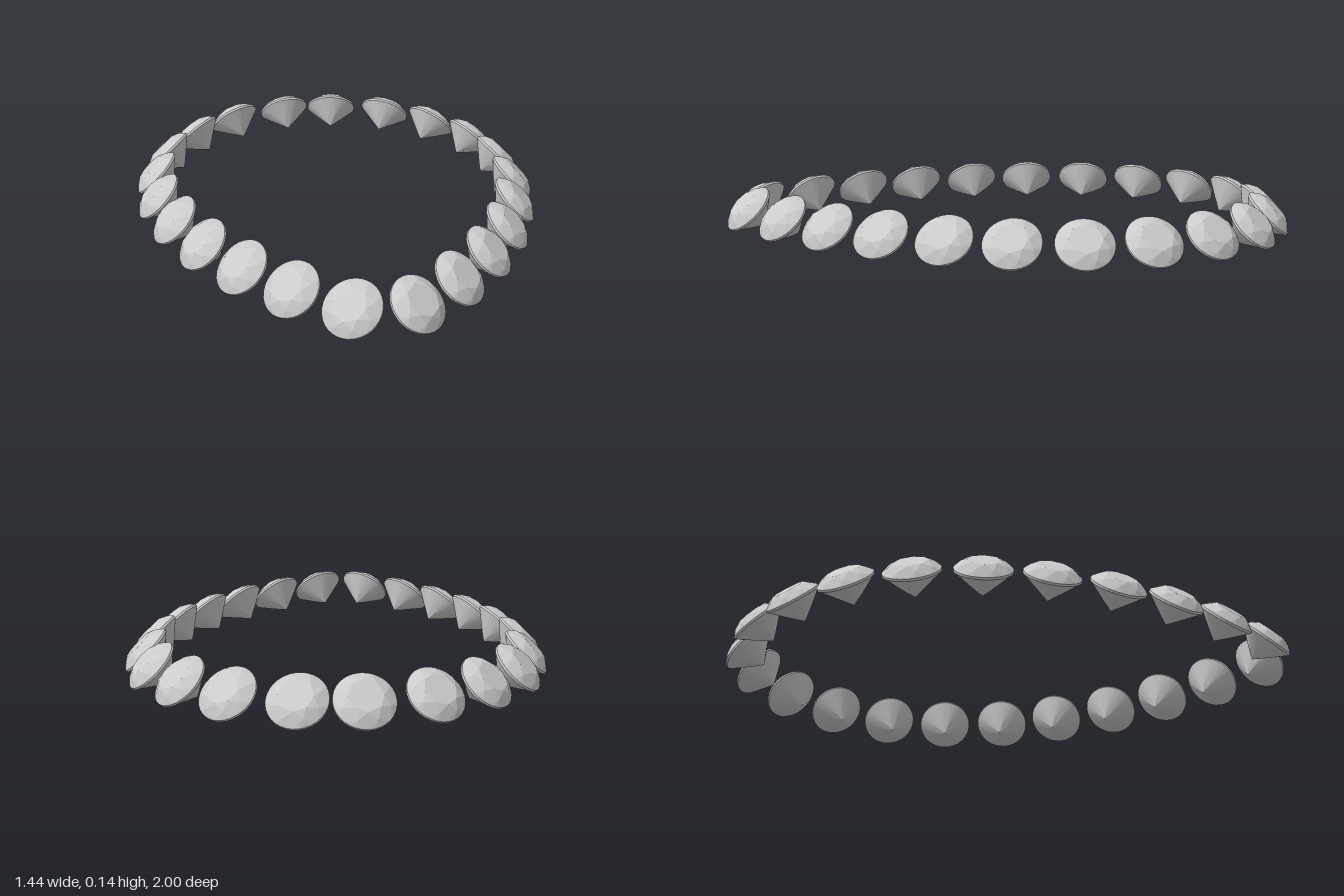
import * as THREE from 'three';

const R = 0.0975;       // girdle radius
const TABLE_R = 0.056;  // flat top radius
const CROWN = 0.03;     // crown height
const DEPTH = 0.084;    // pavilion depth
const BAND = 0.004;     // girdle thickness
const STEP = Math.PI / 4;

// Round brilliant cut: girdle at y = 0, table facing +y, culet at -y
function brilliantGeometry() {
  const pos = [];
  const polar = (r, a, y) => new THREE.Vector3(r * Math.cos(a), y, r * Math.sin(a));
  const inside = new THREE.Vector3(0, -0.01, 0);

  // Adds a convex facet as a fan, wound so that it faces away from the stone's middle
  const facet = (...p) => {
    for (let i = 1; i < p.length - 1; i++) {
      let [a, b, c] = [p[0], p[i], p[i + 1]];
      const n = b.clone().sub(a).cross(c.clone().sub(a));
      if (n.dot(a.clone().sub(inside)) < 0) [b, c] = [c, b];
      for (const v of [a, b, c]) pos.push(v.x, v.y, v.z);
    }
  };

  // Heights chosen so that the kite facets stay flat
  const cosHalf = Math.cos(STEP / 2);
  const midR = 0.079, lowR = 0.024;
  const midY = BAND + CROWN * (R - midR * cosHalf) / (R - TABLE_R);
  const lowY = -BAND - DEPTH * (1 - lowR * cosHalf / R);
  const tableY = BAND + CROWN;
  const top = new THREE.Vector3(0, tableY, 0);
  const culet = new THREE.Vector3(0, -BAND - DEPTH, 0);

  for (let i = 0; i < 8; i++) {
    const a = i * STEP, h = STEP / 2;
    const t0 = polar(TABLE_R, a, tableY), t1 = polar(TABLE_R, a + STEP, tableY);
    const mPrev = polar(midR, a - h, midY), m = polar(midR, a + h, midY);
    const lPrev = polar(lowR, a - h, lowY), l = polar(lowR, a + h, lowY);
    facet(top, t0, t1);                            // table
    facet(t0, t1, m);                              // star
    facet(t0, mPrev, polar(R, a, BAND), m);        // crown kite
    facet(culet, lPrev, polar(R, a, -BAND), l);    // pavilion main
    for (let k = 0; k < 4; k++) {                  // halves and girdle band
      const b = a + k * STEP / 4, c = b + STEP / 4;
      facet(m, polar(R, b, BAND), polar(R, c, BAND));
      facet(l, polar(R, b, -BAND), polar(R, c, -BAND));
      facet(polar(R, b, BAND), polar(R, c, BAND), polar(R, c, -BAND), polar(R, b, -BAND));
    }
  }
  const geo = new THREE.BufferGeometry();
  geo.setAttribute('position', new THREE.Float32BufferAttribute(pos, 3));
  geo.computeVertexNormals();
  return geo;
}

// Left half of the pear-shaped ring, back to front: x, z, outward angle in degrees from +x to +z
const STONES = [
  [0.10, -0.93, -80], [0.315, -0.85, -58], [0.48, -0.70, -37], [0.598, -0.505, -21],
  [0.65, -0.285, -6], [0.65, -0.055, 6], [0.602, 0.165, 17], [0.518, 0.38, 26],
  [0.405, 0.575, 34], [0.266, 0.755, 44], [0.10, 0.912, 56],
];

export function createModel() {
  const model = new THREE.Group();
  model.name = 'gemstoneRing';
  const geo = brilliantGeometry();
  const mat = new THREE.MeshStandardMaterial({ color: 0xcccccc, flatShading: true });

  for (const side of [1, -1]) {
    STONES.forEach(([x, z, deg], i) => {
      const angle = THREE.MathUtils.degToRad(side > 0 ? deg : 180 - deg);
      const gem = new THREE.Mesh(geo, mat);
      gem.name = `${side > 0 ? 'left' : 'right'}Gem${i + 1}`;
      gem.position.set(side * x, 0.072, z);
      gem.rotation.set(0, -angle, -Math.PI / 4); // leaning outward
      model.add(gem);
    });
  }
  return model;
}
